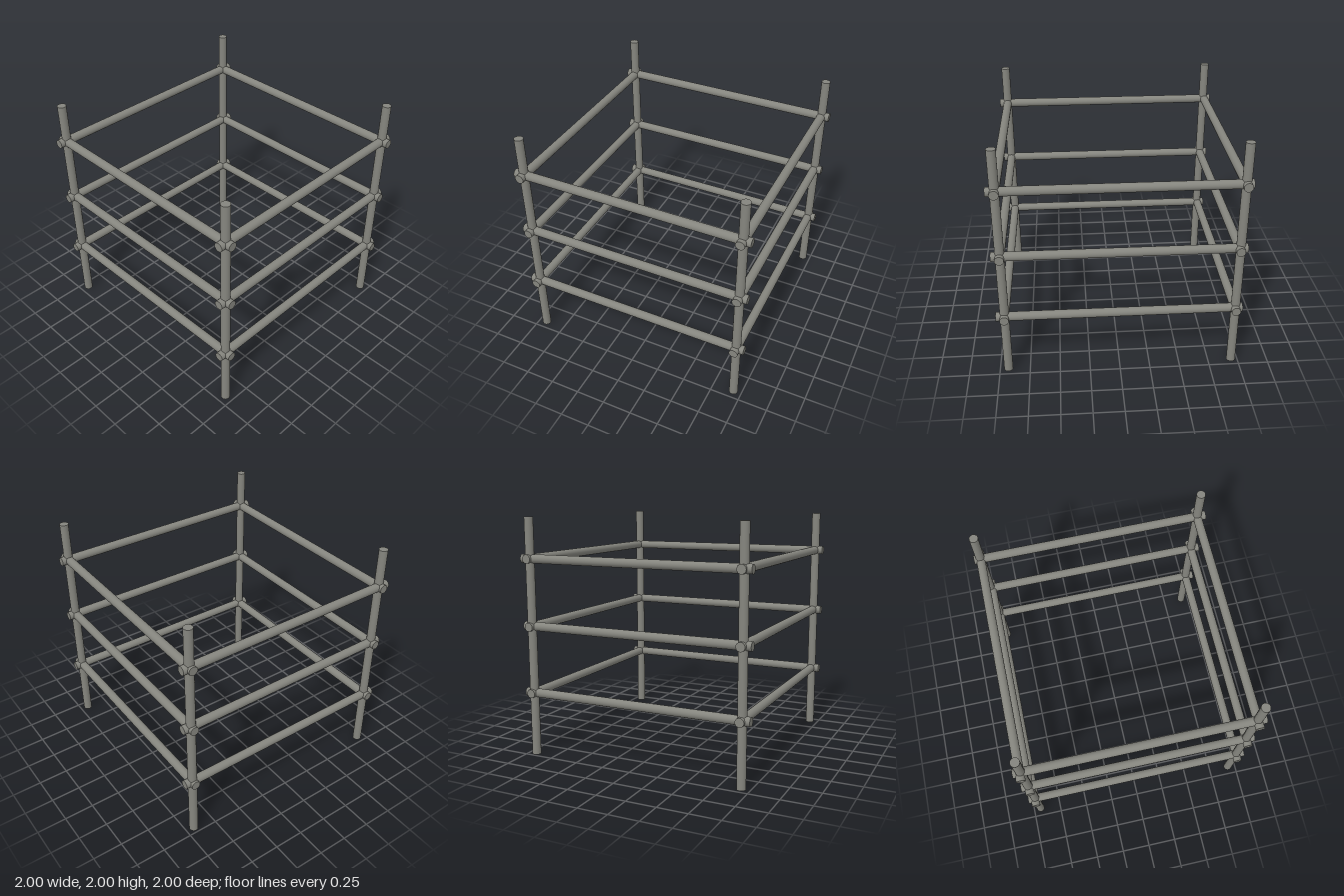
import * as THREE from 'three';

export function createModel() {
  const group = new THREE.Group();
  const steel = new THREE.MeshStandardMaterial({ color: 0x85857e });
  steel.name = 'grey steel';

  // every tube is the same two-unit pipe, turned along one axis
  const pipe = new THREE.CylinderGeometry(0.037, 0.037, 2, 24);
  function addPipe(name, x, y, z, rx = 0, rz = 0) {
    const mesh = new THREE.Mesh(pipe, steel);
    mesh.name = name;
    mesh.position.set(x, y, z);
    mesh.rotation.set(rx, 0, rz);
    group.add(mesh);
  }

  const left = 0.93, right = -0.927, front = 0.93;

  // corner uprights
  addPipe('frontLeftUpright', left, 1, front);
  addPipe('frontRightUpright', right, 1, front);
  addPipe('backLeftUpright', left, 1, -0.946);
  addPipe('backRightUpright', right, 1, -0.938);

  // three levels of crossing rails; back rails sit slightly unevenly
  const levels = [[0.535, -0.941], [1.1, -0.935], [1.66, -0.946]];
  for (const [y, back] of levels) {
    addPipe('frontRail', 0, y, front, 0, Math.PI / 2);
    addPipe('backRail', 0, y, back, 0, Math.PI / 2);
    addPipe('leftRail', left, y, 0, Math.PI / 2);
    addPipe('rightRail', right, y, 0, Math.PI / 2);
  }
  return group;
}
